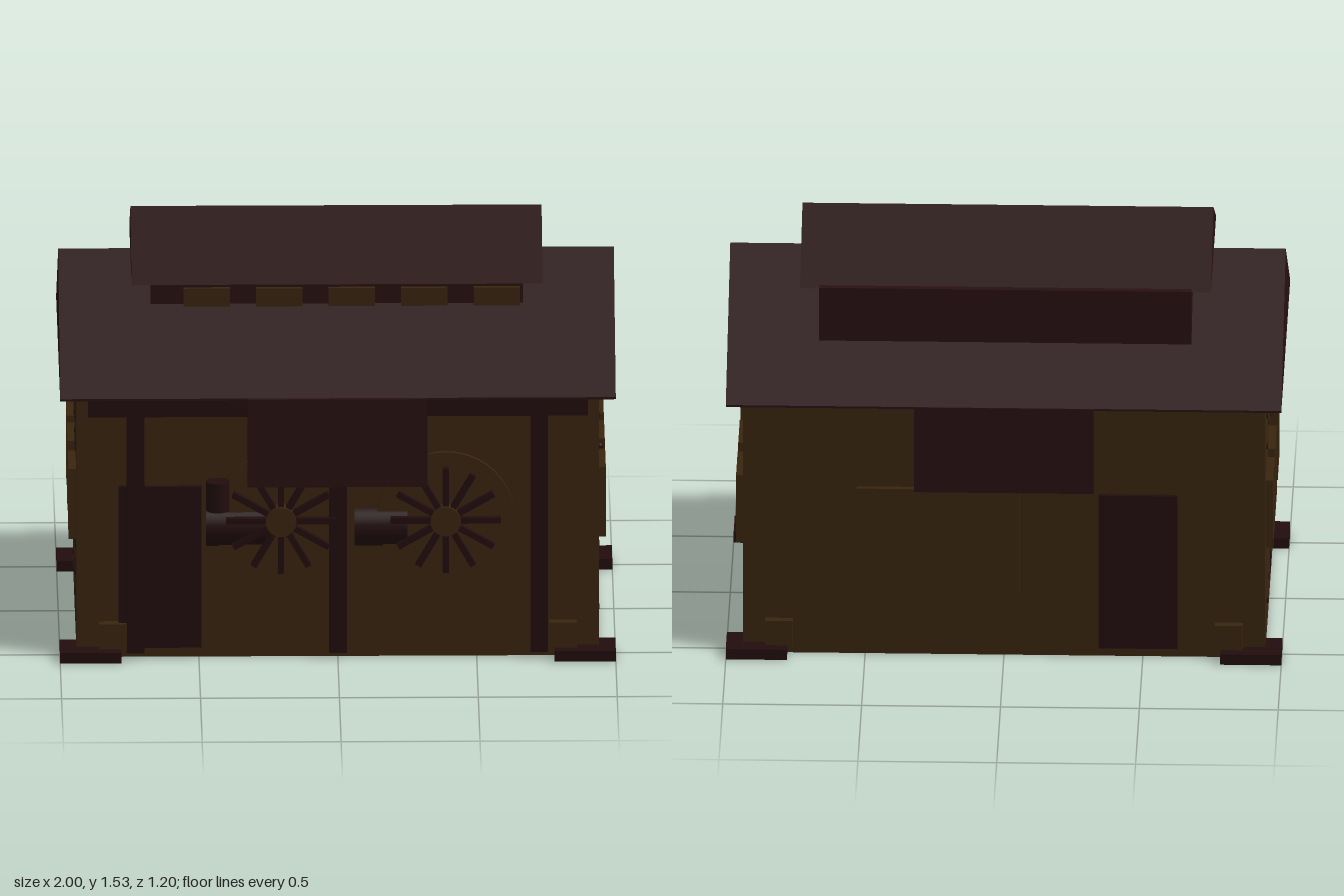
import * as THREE from 'three';

export function createModel() {
  const model = new THREE.Group();
  const mat = (name, color) => {
    const m = new THREE.MeshStandardMaterial({ color });
    m.name = name;
    return m;
  };
  const wall = mat('brown wall', 0x39250f);
  const roof = mat('dark red roof', 0x281011);
  const trim = mat('dark trim', 0x220d0e);

  const add = (name, geo, material, parent = model) => {
    const mesh = new THREE.Mesh(geo, material);
    mesh.name = name;
    parent.add(mesh);
    return mesh;
  };
  // Box given by its extents on each axis
  const box = (name, material, x0, x1, y0, y1, z0, z1, parent = model) => {
    const mesh = add(name, new THREE.BoxGeometry(x1 - x0, y1 - y0, z1 - z0), material, parent);
    mesh.position.set((x0 + x1) / 2, (y0 + y1) / 2, (z0 + z1) / 2);
    return mesh;
  };
  // Solid running along x, with its profile given as [z, y] points
  const prism = (name, material, points, halfLength) => {
    const shape = new THREE.Shape(points.map(([z, y]) => new THREE.Vector2(-z, y)));
    const geo = new THREE.ExtrudeGeometry(shape, { depth: halfLength * 2, bevelEnabled: false });
    geo.translate(0, 0, -halfLength);
    geo.rotateY(Math.PI / 2);
    return add(name, geo, material);
  };

  // Main hall and gabled roof
  box('hall', wall, -0.94, 0.94, 0.005, 1.0, -0.53, 0.525);
  prism('mainRoof', roof, [[0.585, 0.995], [0.585, 1.003], [0, 1.38], [-0.597, 1.003], [-0.597, 0.995]], 1);

  // Raised roof light
  box('clerestory', roof, -0.67, 0.67, 1.1, 1.362, -0.356, 0.217);
  prism('upperRoof', roof, [[0.345, 1.355], [0, 1.54], [-0.345, 1.355]], 0.74);
  for (let i = 0; i < 5; i++) {
    const x = -0.468 + i * 0.261;
    box('clerestoryWindow', wall, x - 0.083, x + 0.083, 1.235, 1.303, 0.21, 0.233);
  }

  // Hanging boards under both eaves
  box('frontBoard', roof, -0.325, 0.322, 0.67, 1.003, 0.578, 0.6);
  box('backBoard', roof, -0.325, 0.322, 0.67, 1.003, -0.6, -0.575);

  // Front timber frame
  box('frontBeam', trim, -0.9, 0.9, 0.925, 0.99, 0.52, 0.56);
  for (const x of [-0.728, 0, 0.725]) {
    box('frontPost', trim, x - 0.032, x + 0.032, 0.03, 0.99, 0.52, 0.565);
  }

  // Doors and the rear panel
  box('frontDoor', trim, -0.79, -0.49, 0.045, 0.655, 0.52, 0.545);
  box('backDoor', trim, -0.625, -0.34, 0.04, 0.64, -0.545, -0.52);
  box('backPanel', wall, -0.055, 0.53, 0.25, 0.66, -0.55, -0.52);

  // Corner feet and blocks
  for (const sx of [-1, 1]) {
    for (const sz of [-1, 1]) {
      const foot = box('foot', trim, -0.11, 0.11, 0.005, 0.045, -0.077, 0.077);
      foot.position.x = sx * 0.89;
      foot.position.z = sz * 0.523;
      const block = box('cornerBlock', wall, -0.05, 0.05, 0.04, 0.14, -0.025, 0.025);
      block.position.x = sx * 0.81;
      block.position.z = sz * 0.535;
    }
  }

  // Side windows with a raised frame
  for (const sx of [-1, 1]) {
    for (const z of [0.263, -0.06, -0.345]) {
      const pane = box('sideWindow', wall, -0.015, 0.015, 0.405, 0.66, -0.1, 0.1);
      pane.position.set(sx * 0.95, 0.533, z);
      const frame = new THREE.Group();
      frame.name = 'sideWindowFrame';
      frame.position.set(sx * 0.953, 0.533, z);
      model.add(frame);
      for (const s of [-1, 1]) {
        const a = s * 0.127, b = s * 0.1;
        box('frameRail', wall, -0.014, 0.014, a - 0.005, a + 0.005, -0.105, 0.105, frame);
        box('frameStile', wall, -0.014, 0.014, -0.132, 0.132, b - 0.005, b + 0.005, frame);
      }
    }
  }
  const handle = add('sideHandle', new THREE.CapsuleGeometry(0.012, 0.08, 4, 10), trim);
  handle.position.set(0.948, 0.605, 0.062);

  // Fans: round plate, twelve blades and a hub
  const disc = (name, material, r, z0, z1, parent) => {
    const geo = new THREE.CylinderGeometry(r, r, z1 - z0, 40);
    geo.rotateX(Math.PI / 2);
    add(name, geo, material, parent).position.z = (z0 + z1) / 2;
  };
  for (const x of [-0.205, 0.388]) {
    const fan = new THREE.Group();
    fan.name = 'fan';
    fan.position.set(x, 0.533, 0);
    model.add(fan);
    disc('fanPlate', wall, 0.248, 0.51, 0.54, fan);
    for (let i = 0; i < 12; i++) {
      const a = (i * Math.PI) / 6;
      const blade = box('fanBlade', trim, -0.076, 0.076, -0.011, 0.011, 0.553, 0.577, fan);
      blade.position.x = Math.cos(a) * 0.122;
      blade.position.y = Math.sin(a) * 0.122;
      blade.rotation.z = a;
    }
    disc('fanHub', wall, 0.055, 0.53, 0.588, fan);
  }

  // Motors beside the fans
  for (const [x0, x1] of [[-0.475, -0.24], [0.06, 0.25]]) {
    const geo = new THREE.CylinderGeometry(0.08, 0.08, x1 - x0, 24);
    geo.rotateZ(Math.PI / 2);
    add('motor', geo, trim).position.set((x0 + x1) / 2, 0.495, 0.49);
  }
  add('motorStack', new THREE.CylinderGeometry(0.042, 0.042, 0.11, 20), trim).position.set(-0.432, 0.627, 0.558);

  // Small rivets and a seam on the side walls
  for (const sx of [-1, 1]) {
    for (const y of [0.13, 0.37, 0.735, 0.855, 0.98]) {
      for (const z of [0.345, 0.13, -0.08, -0.3]) {
        box('rivet', trim, -0.003, 0.003, -0.008, 0.008, -0.008, 0.008).position.set(sx * 0.941, y, z);
      }
    }
    for (let i = 0; i < 8; i++) {
      box('seam', trim, -0.002, 0.002, -0.035, 0.035, -0.004, 0.004).position.set(sx * 0.941, 0.1 + i * 0.12, 0.13);
    }
  }
  return model;
}
